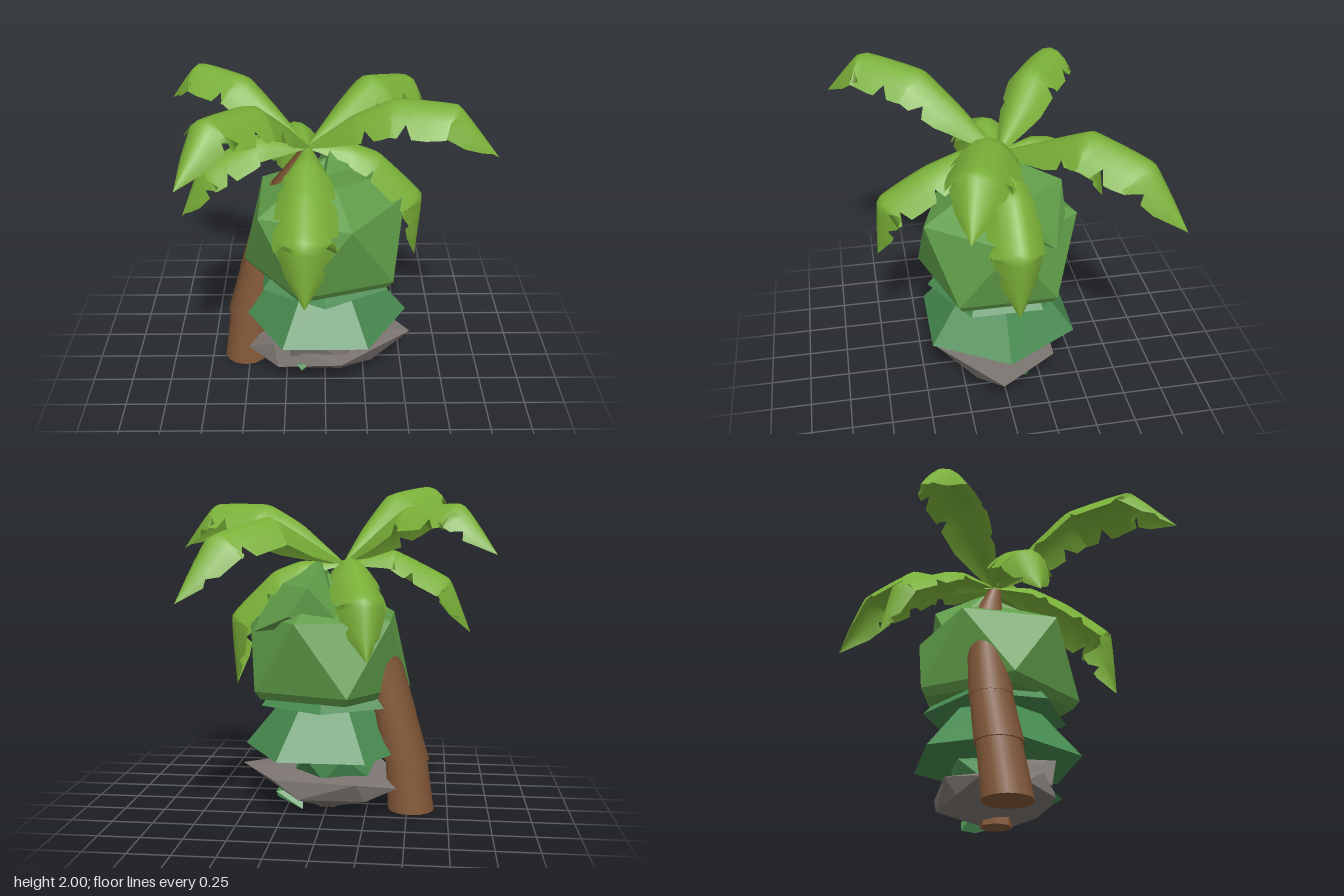
import * as THREE from 'three';
import { ConvexGeometry } from 'three/addons/geometries/ConvexGeometry.js';

const mat = (name, color, side = THREE.FrontSide) => {
  const m = new THREE.MeshStandardMaterial({ color, side });
  m.name = name;
  return m;
};
const leafGreen = mat('leaf green', 0x7ab038, THREE.DoubleSide);
const foliageGreen = mat('foliage green', 0x5f9c48);
const pineGreen = mat('pine green', 0x478a50);
const barkBrown = mat('bark brown', 0x855a39);
const stoneGrey = mat('stone grey', 0x7c7571);

const V = (x, y, z) => new THREE.Vector3(x, y, z);
const crown = V(-0.1, 1.53, -0.03);

function add(parent, name, geometry, material) {
  const mesh = new THREE.Mesh(geometry, material);
  mesh.name = name;
  parent.add(mesh);
  return mesh;
}

// Faceted lump wrapped around a few points
const lump = (points) => new ConvexGeometry(points.map((p) => V(...p)));

// Five points on a level circle, starting at the given angle in degrees
const pentagon = (radius, y, start) => Array.from({ length: 5 }, (_, i) => {
  const a = THREE.MathUtils.degToRad(start + i * 72);
  return [radius * Math.cos(a), y, radius * Math.sin(a)];
});

// Sided frustum between two heights, rotated about y
function frustum(rTop, rBottom, y0, y1, sides, turn = 0) {
  const g = new THREE.CylinderGeometry(rTop, rBottom, y1 - y0, sides).toNonIndexed();
  g.rotateY(turn);
  g.translate(0, (y0 + y1) / 2, 0);
  g.computeVertexNormals();
  return g;
}

// Smooth trunk section sheared so both ends stay level
function trunkSection(a, b, rTop, rBottom) {
  const h = b.y - a.y;
  const g = new THREE.CylinderGeometry(rTop, rBottom, h, 14);
  g.translate(0, h / 2, 0);
  const p = g.attributes.position;
  for (let i = 0; i < p.count; i++) {
    const t = p.getY(i) / h;
    p.setXYZ(i, p.getX(i) + a.x + (b.x - a.x) * t, p.getY(i) + a.y, p.getZ(i) + a.z + (b.z - a.z) * t);
  }
  return g;
}

// Arched leaf with torn edges; bends lists [fraction of reach, height]
function leafGeometry(tip, bends, tipY, halfWidth, phase) {
  const at = (f, y) => V(crown.x + (tip[0] - crown.x) * f, y, crown.z + (tip[1] - crown.z) * f);
  const pts = [crown.clone(), ...bends.map(([f, y]) => at(f, y)), at(1, tipY)];
  const spine = new THREE.CatmullRomCurve3(pts, false, 'catmullrom', 0.12);
  const side = V(-(tip[1] - crown.z), 0, tip[0] - crown.x).normalize();
  const rows = 32, cols = 6, pos = [], index = [];
  const widths = [0.12, 0.5, 0.85, 1, 1.05, 1.05, 0.92, 0.6, 0];
  for (let i = 0; i <= rows; i++) {
    const t = i / rows;
    const c = spine.getPointAt(t);
    const n = side.clone().cross(spine.getTangentAt(t)).normalize();
    const k = Math.min(t * 8, 7.999), j = Math.floor(k);
    const w = halfWidth * (widths[j] + (widths[j + 1] - widths[j]) * (k - j));
    for (let q = 0; q <= cols; q++) {
      const s = (q / cols) * 2 - 1;
      const torn = Math.abs(s) > 0.9 && i > 7 && (i + phase + (s > 0 ? 3 : 0)) % 7 === 0;
      const u = torn ? s * 0.76 : s;
      const p = c.clone().addScaledVector(side, u * w).addScaledVector(n, -0.82 * w * u * u);
      pos.push(p.x, p.y, p.z);
      if (i < rows && q < cols) {
        const a = i * (cols + 1) + q, b = a + cols + 1;
        index.push(a, a + 1, b, a + 1, b + 1, b);
      }
    }
  }
  const g = new THREE.BufferGeometry();
  g.setAttribute('position', new THREE.Float32BufferAttribute(pos, 3));
  g.setIndex(index);
  g.computeVertexNormals();
  return g;
}

export function createModel() {
  const model = new THREE.Group();
  model.name = 'treeCluster';

  // Palm trunk of flared, overlapping sections
  const palm = new THREE.Group();
  palm.name = 'palm';
  model.add(palm);
  const path = [V(-0.525, 0, -0.05), V(-0.495, 0.33, -0.09), V(-0.425, 0.63, -0.12),
    V(-0.345, 0.95, -0.13), V(-0.24, 1.25, -0.1), V(-0.11, 1.5, -0.035)];
  const radii = [0.145, 0.141, 0.13, 0.11, 0.09];
  radii.forEach((r, i) => add(palm, 'palmTrunkSection', trunkSection(path[i], path[i + 1], r - (i > 3 ? 0.05 : 0.015), r), barkBrown));

  // Palm leaves: tip x and z, bends, tip height, half width
  const leaves = [
    [[0.71, -0.95], [[0.22, 1.66], [0.48, 1.81], [0.8, 1.71]], 1.36, 0.175],
    [[0.98, 0.305], [[0.25, 1.76], [0.45, 1.88], [0.78, 1.88]], 1.6, 0.185],
    [[-0.12, 0.74], [[0.3, 1.54], [0.6, 1.44], [0.97, 1.25]], 0.86, 0.175],
    [[-0.76, 0.95], [[0.2, 1.74], [0.43, 1.95], [0.78, 2.0]], 1.71, 0.175],
    [[-0.875, 0.06], [[0.38, 1.61], [0.83, 1.43]], 1.1, 0.155],
    [[-0.98, -0.63], [[0.2, 1.68], [0.44, 1.86], [0.78, 1.88]], 1.61, 0.16],
    [[-0.29, -0.76], [[0.3, 1.57], [0.48, 1.54], [0.9, 1.37]], 1.03, 0.145],
    [[0.57, -0.04], [[0.38, 1.54], [0.65, 1.47], [1.04, 1.2]], 0.77, 0.155],
  ];
  leaves.forEach(([tip, bends, y, w], i) => add(palm, 'palmLeaf', leafGeometry(tip, bends, y, w, i), leafGreen));

  // Pine: stem, two six-sided skirts
  const pine = new THREE.Group();
  pine.name = 'pine';
  model.add(pine);
  add(pine, 'pineStem', frustum(0.08, 0.095, 0, 0.3, 7), barkBrown);
  add(pine, 'lowerSkirt', frustum(0.27, 0.525, 0.38, 0.69, 6, Math.PI / 6), pineGreen);
  add(pine, 'upperSkirt', frustum(0.2, 0.445, 0.67, 0.97, 6), pineGreen);

  // Broad five-sided faceted foliage with a bevelled underside
  add(pine, 'foliage', lump([
    ...pentagon(0.47, 0.72, 36), ...pentagon(0.51, 0.77, 36), ...pentagon(0.49, 1.2, 0), [0, 1.46, 0],
  ]), foliageGreen);
  add(pine, 'topFoliage', lump([
    [0.04, 1.55, -0.07], [0.0, 1.43, 0.2], [0.16, 1.48, -0.05], [0.31, 1.41, -0.1], [0.32, 1.27, -0.05],
    [0.08, 1.4, -0.38], [0.2, 1.23, -0.38], [0.42, 1.13, -0.28], [-0.1, 1.2, -0.35], [0.1, 1.25, 0.22],
  ]), foliageGreen);

  // Wide flat boulder and the stone on top of it
  const rocks = new THREE.Group();
  rocks.name = 'rocks';
  model.add(rocks);
  add(rocks, 'boulder', lump([
    [0.555, 0.235, 0.05], [0.3, 0.23, -0.32], [-0.2, 0.22, -0.34], [-0.49, 0.18, -0.05], [-0.33, 0.24, 0.2],
    [0.1, 0.225, 0.41], [-0.51, 0.125, 0.06], [-0.3, 0.11, 0.27], [0.1, 0.1, 0.27], [0.3, 0.1, 0.18],
    [0.15, 0.115, -0.33], [-0.25, 0.1, -0.28], [-0.44, 0.16, -0.18], [-0.32, 0.06, 0], [0.12, 0.02, 0],
    [0, 0.02, -0.15], [0, 0.27, 0],
  ]), stoneGrey);
  add(rocks, 'upperStone', lump([
    [-0.22, 0.2, 0.28], [0.14, 0.2, 0.31], [0.2, 0.24, 0.1], [0.17, 0.35, 0.18], [0.1, 0.37, 0.3],
    [-0.18, 0.37, 0.32], [-0.24, 0.3, 0.1], [-0.15, 0.37, -0.05], [0.12, 0.37, -0.05], [0, 0.2, -0.1],
  ]), stoneGrey);

  // Green growth behind the stone and poking through the boulder
  add(rocks, 'moss', lump([
    [-0.29, 0.27, 0.02], [-0.22, 0.36, 0.05], [-0.26, 0.22, -0.15], [0.17, 0.36, 0.0], [0.2, 0.23, -0.1],
    [0.12, 0.36, -0.25], [-0.12, 0.36, -0.25], [0, 0.21, -0.25], [0.19, 0.28, 0.05],
  ]), pineGreen);
  add(rocks, 'mossUnderside', lump([
    [0.3, 0.08, 0.05], [0.3, 0.12, 0.05], [0.31, 0.11, -0.15], [0.3, 0.08, -0.15], [0.14, 0.01, -0.18],
    [0.2, 0.015, -0.08], [0.15, 0.12, -0.1],
  ]), pineGreen);
  add(rocks, 'mossFront', lump([
    [-0.18, 0.17, 0.32], [-0.11, 0.17, 0.33], [-0.13, 0.12, 0.31], [-0.15, 0.15, 0.36], [-0.15, 0.15, 0.2],
  ]), pineGreen);

  return model;
}
